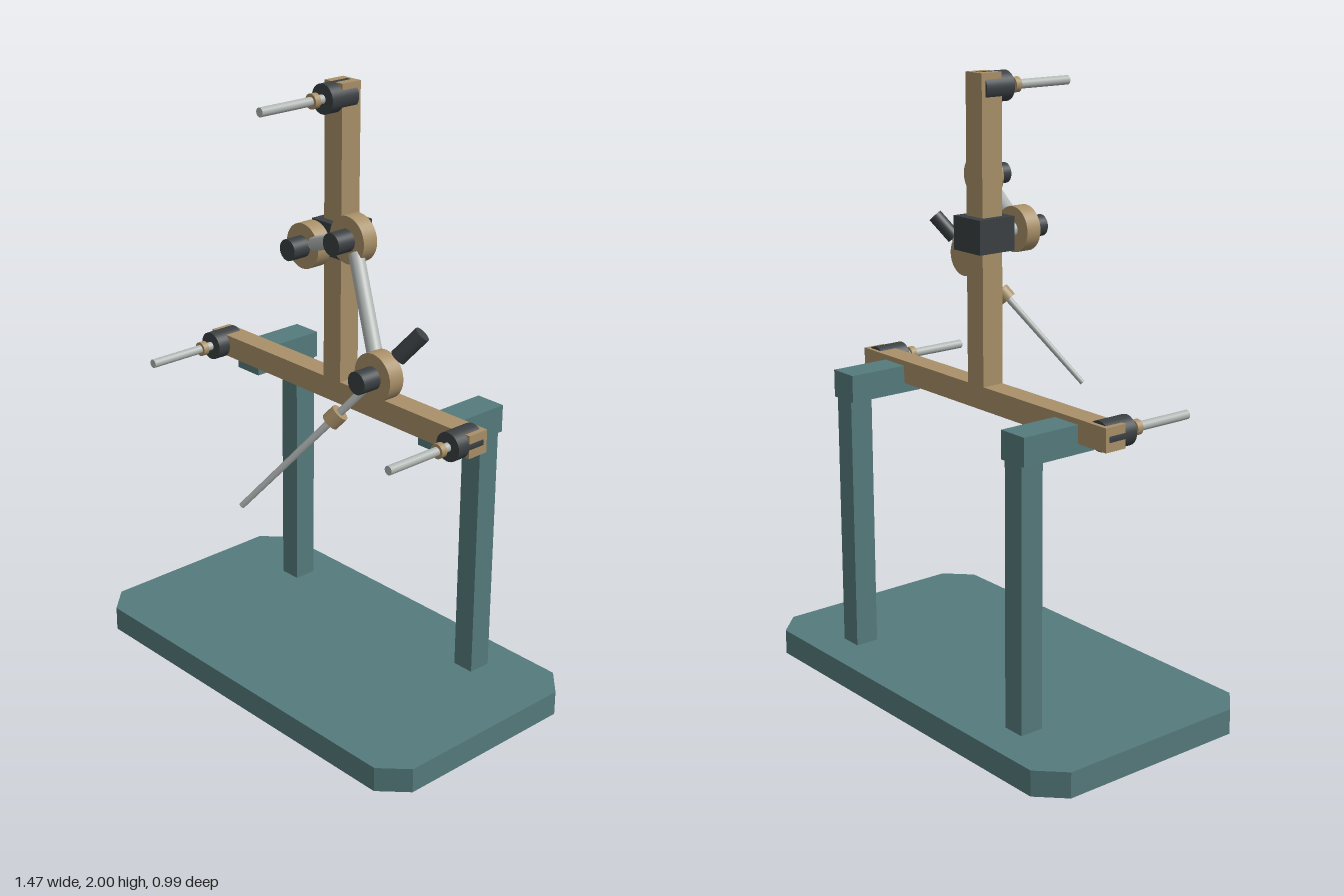
import * as THREE from 'three';

const mat = (color) => new THREE.MeshStandardMaterial({ color });

export function createModel() {
  const model = new THREE.Group();
  const teal = mat(0x557a7c), tan = mat(0xa89068), dark = mat(0x3a3f42), silver = mat(0xb0b5b2);

  const add = (parent, name, geometry, material) => {
    const mesh = new THREE.Mesh(geometry, material);
    mesh.name = name;
    parent.add(mesh);
    return mesh;
  };

  // Box given by its lower and upper corners
  const box = (parent, name, material, lo, hi) => {
    const size = hi.map((v, i) => v - lo[i]);
    const mesh = add(parent, name, new THREE.BoxGeometry(...size), material);
    mesh.position.set(...hi.map((v, i) => (v + lo[i]) / 2));
  };

  // Round bar between two points, optionally tapered
  const up = new THREE.Vector3(0, 1, 0);
  const bar = (parent, name, material, a, b, rA, rB = rA) => {
    const dir = b.clone().sub(a);
    const mesh = add(parent, name, new THREE.CylinderGeometry(rB, rA, dir.length(), 32), material);
    mesh.position.copy(a).addScaledVector(dir, 0.5);
    mesh.quaternion.setFromUnitVectors(up, dir.normalize());
  };
  const barZ = (parent, name, material, x, y, z0, z1, r) =>
    bar(parent, name, material, new THREE.Vector3(x, y, z0), new THREE.Vector3(x, y, z1), r);

  // Base plate with cut corners
  const w = 0.737, back = -0.5, front = 0.315, c = 0.083;
  const outline = new THREE.Shape([
    [-w + c, -front], [w - c, -front], [w, -front + c], [w, -back - c],
    [w - c, -back], [-w + c, -back], [-w, -back - c], [-w, -front + c],
  ].map(([x, y]) => new THREE.Vector2(x, y)));
  const base = add(model, 'basePlate',
    new THREE.ExtrudeGeometry(outline, { depth: 0.083, bevelEnabled: false }), teal);
  base.rotation.x = -Math.PI / 2;

  // Two posts with forward brackets
  for (const side of [-1, 1]) {
    const stand = new THREE.Group();
    stand.name = side > 0 ? 'leftStand' : 'rightStand';
    const x = side * 0.432;
    box(stand, 'post', teal, [x - 0.038, 0.083, -0.383], [x + 0.038, 0.935, -0.303]);
    box(stand, 'bracket', teal, [x - 0.052, 0.93, -0.385], [x + 0.052, 1.02, -0.118]);
    model.add(stand);
  }

  // Crossbar, mast and sliding clamp
  box(model, 'crossbar', tan, [-0.606, 0.962, -0.181], [0.606, 1.037, -0.105]);
  box(model, 'mast', tan, [-0.039, 1.037, -0.181], [0.039, 1.999, -0.105]);
  box(model, 'slidingClamp', dark, [-0.065, 1.459, -0.211], [0.065, 1.565, -0.077]);

  // Pointed pins at the three ends of the frame
  for (const [x, y] of [[-0.56, 1], [0.56, 1], [0, 1.953]]) {
    const pin = new THREE.Group();
    pin.name = 'framePin';
    barZ(pin, 'pinHousing', dark, x, y, -0.167, -0.06, 0.047);
    barZ(pin, 'pinRod', silver, x, y, -0.07, 0.187, 0.0145);
    barZ(pin, 'pinCollar', tan, x, y, -0.034, -0.013, 0.024);
    model.add(pin);
  }

  // Articulated arm: discs with knobs joined by links
  const arm = new THREE.Group();
  arm.name = 'articulatedArm';
  model.add(arm);
  const joints = [[0, 1.51, -0.006], [0.313, 1.627, 0.102], [0.561, 1.31, 0.232]]
    .map((p) => new THREE.Vector3(...p));
  barZ(arm, 'armStub', silver, 0, 1.51, -0.1, -0.02, 0.024);
  joints.forEach((p, i) => {
    barZ(arm, 'jointDisc', tan, p.x, p.y, p.z - 0.026, p.z + 0.026, 0.072);
    barZ(arm, 'jointKnob', dark, p.x, p.y, p.z + 0.026, p.z + 0.088, 0.034);
    if (i === 0) return;
    const q = joints[i - 1];
    const step = p.clone().sub(q).setLength(0.05);
    bar(arm, 'armLink', silver, q.clone().add(step), p.clone().sub(step), 0.023);
  });

  // Slanted probe through the last joint
  const probe = new THREE.Group();
  probe.name = 'probe';
  model.add(probe);
  const tip = new THREE.Vector3(0.254, 0.873, 0.486);
  const axis = joints[2].clone().sub(tip).normalize();
  const at = (t) => joints[2].clone().addScaledVector(axis, t);
  bar(probe, 'probeRod', silver, tip, at(0.1), 0.009, 0.013);
  bar(probe, 'probeCollar', tan, at(-0.205), at(-0.162), 0.028);
  bar(probe, 'probeHandle', dark, at(0.078), at(0.178), 0.025);

  return model;
}
